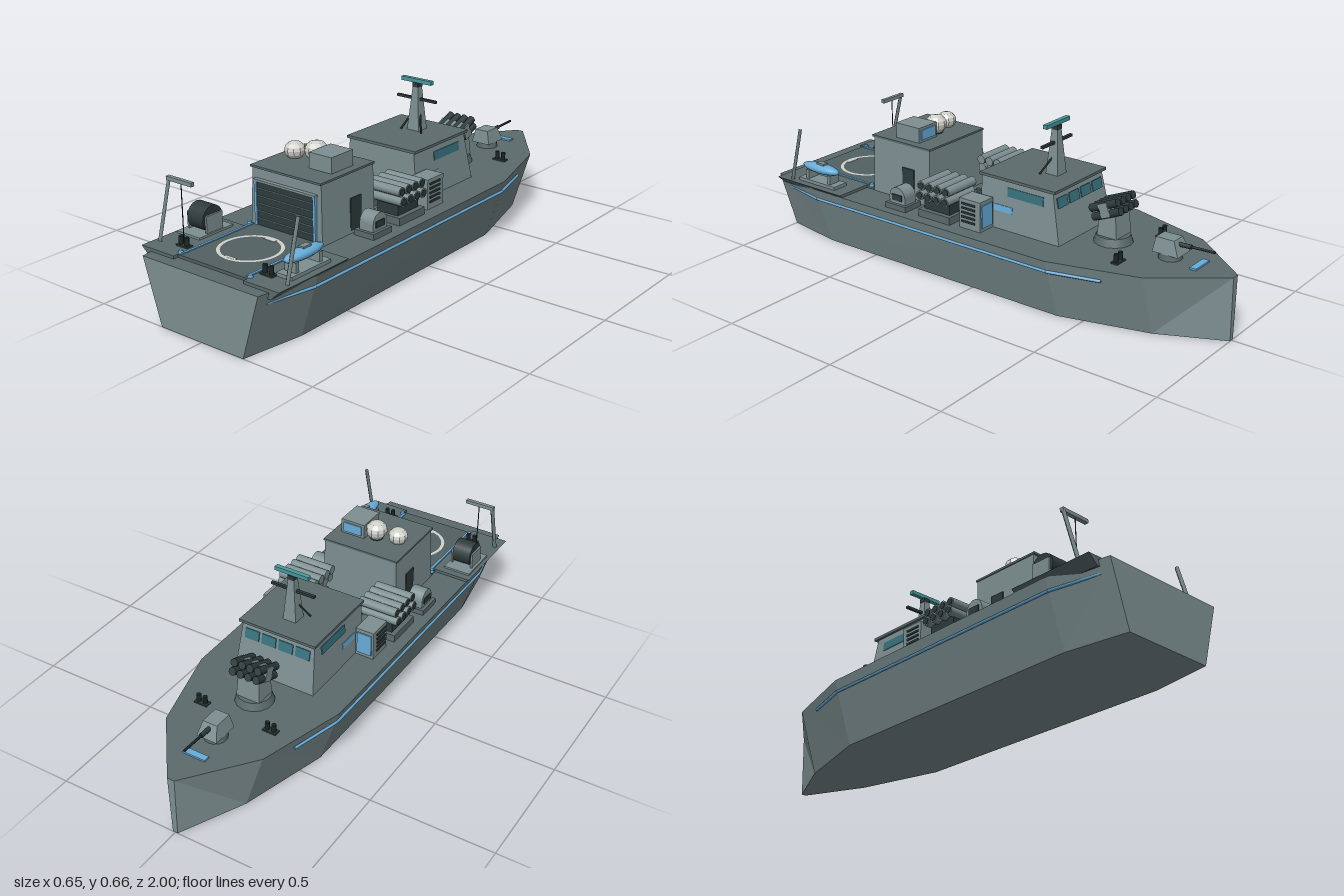
import * as THREE from 'three';

const mat = (name, color) => Object.assign(new THREE.MeshStandardMaterial({ color }), { name });

export function createModel() {
  const M = {
    hull: mat('hull grey', 0x7e9092),
    deck: mat('deck grey', 0x5c6b6d),
    pad: mat('pad grey', 0x536163),
    dark: mat('dark metal', 0x2e3b3b),
    trim: mat('black trim', 0x1d2526),
    blue: mat('blue trim', 0x68aedb),
    teal: mat('radar teal', 0x4a9a9f),
    glass: mat('window glass', 0x38737f),
    white: mat('off white', 0xd2d3cd),
  };
  const root = new THREE.Group();
  const add = (name, geo, m, x = 0, y = 0, z = 0, parent = root) => {
    const mesh = new THREE.Mesh(geo, m);
    mesh.name = name;
    mesh.position.set(x, y, z);
    parent.add(mesh);
    return mesh;
  };
  // box given by its extents
  const box = (name, m, x0, x1, y0, y1, z0, z1, parent) =>
    add(name, new THREE.BoxGeometry(Math.abs(x1 - x0), y1 - y0, z1 - z0), m,
      (x0 + x1) / 2, (y0 + y1) / 2, (z0 + z1) / 2, parent);
  const cyl = (r0, r1, h, n = 12) => new THREE.CylinderGeometry(r0, r1, h, n).toNonIndexed();
  // straight bar between two points
  const bar = (name, m, a, b, r, n = 8, parent) => {
    const p = new THREE.Vector3(...a), q = new THREE.Vector3(...b);
    const mesh = add(name, cyl(r, r, p.distanceTo(q), n), m, 0, 0, 0, parent);
    mesh.position.copy(p).lerp(q, 0.5);
    mesh.quaternion.setFromUnitVectors(new THREE.Vector3(0, 1, 0), q.sub(p).normalize());
    return mesh;
  };
  // house block whose top may be smaller than its base: [halfX, zMin, zMax]
  const block = (name, m, y0, y1, bot, top, parent) => {
    const g = new THREE.BoxGeometry(2, 2, 2), p = g.attributes.position;
    for (let i = 0; i < p.count; i++) {
      const c = p.getY(i) > 0 ? top : bot;
      p.setXYZ(i, p.getX(i) * c[0], p.getY(i) > 0 ? y1 : y0, p.getZ(i) < 0 ? c[1] : c[2]);
    }
    g.computeVertexNormals();
    return add(name, g, m, 0, 0, 0, parent);
  };
  const sides = (fn) => [1, -1].forEach(fn);

  // Hull: stations of [z, bottom half width, top half width]
  const H = 0.25;
  const st = [[1, 0.195, 0.272], [0.75, 0.235, 0.315], [-0.4, 0.225, 0.308], [-0.75, 0.13, 0.21], [-1, 0.01, 0.015]];
  const shell = [], deck = [];
  const quad = (out, a, b, c, d) => out.push(...a, ...b, ...c, ...a, ...c, ...d);
  const pt = (i, s, top) => [s * st[i][top ? 2 : 1], top ? H : 0, st[i][0]];
  for (let i = 0; i < st.length - 1; i++) {
    const j = i + 1;
    const aft = i === 0;
    const R = [pt(i, 1, 0), pt(j, 1, 0), pt(j, 1, 1), pt(i, 1, 1)];
    const L = [pt(i, -1, 0), pt(i, -1, 1), pt(j, -1, 1), pt(j, -1, 0)];
    if (aft) {
      quad(shell, R[1], R[2], R[3], R[0]);
      quad(shell, L[3], L[0], L[1], L[2]);
    } else {
      quad(shell, ...R);
      quad(shell, ...L);
    }
    quad(shell, pt(i, -1, 0), pt(j, -1, 0), pt(j, 1, 0), pt(i, 1, 0));
    quad(deck, pt(i, -1, 1), pt(i, 1, 1), pt(j, 1, 1), pt(j, -1, 1));
  }
  quad(shell, pt(0, -1, 0), pt(0, 1, 0), pt(0, 1, 1), pt(0, -1, 1));
  quad(shell, pt(4, 1, 0), pt(4, -1, 0), pt(4, -1, 1), pt(4, 1, 1));
  [['hull', shell, M.hull], ['mainDeck', deck, M.deck]].forEach(([name, pts, m]) => {
    const g = new THREE.BufferGeometry();
    g.setAttribute('position', new THREE.Float32BufferAttribute(pts, 3));
    g.computeVertexNormals();
    add(name, g, m);
  });

  sides((s) => {
    // Rub rail following the hull side
    const rail = [[0.262, 0.95], [0.303, 0.75], [0.297, -0.4], [0.244, -0.6]];
    for (let i = 0; i < 3; i++)
      bar('rubRail', M.blue, [s * rail[i][0], 0.205, rail[i][1]], [s * rail[i + 1][0], 0.205, rail[i + 1][1]], 0.006, 6);
    // Stern side platform with a slanted outer edge
    const prof = new THREE.Shape([[0.165, 0.262], [0.165, 0.245], [0.285, 0.225], [0.325, 0.262]].map(([x, y]) => new THREE.Vector2(s * x, y)));
    add('sidePlatform', new THREE.ExtrudeGeometry(prof, { depth: 0.355, bevelEnabled: false }), M.deck, 0, 0, 0.6);
    // Davit posts
    bar('davitPost', M.hull, [s * 0.302, 0.262, 0.89], [s * 0.302, 0.485, 0.83], 0.009, 4);
    // Mooring bollards
    [[0.15, -0.61, 0.25], [0.2, 0.87, 0.262]].forEach(([x, z, y]) => {
      box('bollardBase', M.dark, s * (x - 0.028), s * (x + 0.028), y, y + 0.006, z - 0.014, z + 0.014);
      [-0.014, 0.014].forEach((d) => add('bollard', cyl(0.009, 0.009, 0.036, 8), M.trim, s * x + d, y + 0.018, z));
    });
    // Equipment cabinet beside the bridge
    box('cabinet', M.hull, s * 0.172, s * 0.25, H, 0.37, -0.058, 0.042);
    box('cabinetDoor', M.blue, s * 0.18, s * 0.242, 0.265, 0.355, -0.063, -0.058);
    for (let i = 0; i < 5; i++)
      box('cabinetLouver', M.dark, s * 0.25, s * 0.254, 0.275 + i * 0.018, 0.283 + i * 0.018, -0.035, 0.03);
    // Missile canisters
    box('launcherBase', M.deck, s * 0.13, s * 0.265, H, 0.28, 0.08, 0.235);
    box('launcherCradle', M.dark, s * 0.15, s * 0.245, 0.28, 0.33, 0.095, 0.22);
    for (let row = 0; row < 2; row++) for (let i = 0; i < 4; i++) {
      const y = 0.341 + row * 0.037, z = 0.097 + i * 0.041, o = row * -0.008;
      bar('missileTube', M.hull, [s * (0.11 + o), y, z], [s * (0.272 + o), y, z], 0.019, 10);
      bar('tubeCap', M.dark, [s * (0.272 + o), y, z], [s * (0.275 + o), y, z], 0.014, 10);
    }
    // Rounded winch housing
    box('winchBase', M.deck, s * 0.185, s * 0.275, H, 0.272, 0.295, 0.4);
    box('winchBody', M.hull, s * 0.2, s * 0.262, 0.272, 0.3, 0.307, 0.387);
    bar('winchDrum', M.hull, [s * 0.2, 0.3, 0.347], [s * 0.262, 0.3, 0.347], 0.04, 14);
    box('winchSlot', M.dark, s * 0.262, s * 0.266, 0.285, 0.31, 0.322, 0.372);
    // Hangar side door
    box('hangarSideDoor', M.dark, s * 0.165, s * 0.171, 0.26, 0.385, 0.34, 0.4);
    // Bridge side windows and panel, following the wall slope
    const tilt = new THREE.Group();
    tilt.name = 'bridgeSideFittings';
    tilt.position.set(s * 0.171, H, 0);
    tilt.rotation.z = s * 0.078;
    root.add(tilt);
    box('sideWindow', M.glass, -0.003, 0.003, 0.135, 0.17, -0.285, -0.12, tilt);
    box('sidePanel', M.blue, -0.003, 0.003, 0.07, 0.095, -0.145, -0.06, tilt);
  });

  // Bridge
  block('bridge', M.hull, H, 0.445, [0.172, -0.365, 0.005], [0.156, -0.325, 0.005]);
  box('bridgeRoof', M.deck, -0.166, 0.166, 0.445, 0.456, -0.34, 0.01);
  const face = new THREE.Group();
  face.name = 'bridgeFrontWindows';
  face.position.set(0, H, -0.366);
  face.rotation.x = Math.atan2(0.04, 0.195);
  root.add(face);
  for (let i = 0; i < 4; i++) {
    const x = -0.111 + i * 0.074;
    box('frontWindow', M.glass, x - 0.031, x + 0.031, 0.135, 0.175, -0.003, 0.003, face);
  }

  // Mast and radars
  const mastZ = -0.225;
  block('mast', M.hull, 0.456, 0.63, [0.028, mastZ - 0.028, mastZ + 0.028], [0.013, mastZ - 0.013, mastZ + 0.013]);
  box('mastCap', M.dark, -0.014, 0.014, 0.63, 0.648, mastZ - 0.014, mastZ + 0.014);
  box('topRadar', M.teal, -0.072, 0.072, 0.647, 0.663, mastZ - 0.009, mastZ + 0.009);
  box('yardArm', M.dark, -0.095, 0.093, 0.576, 0.586, mastZ - 0.006, mastZ + 0.006);
  sides((s) => bar('mastStrut', M.trim, [s * 0.05, 0.456, mastZ + 0.04], [s * 0.015, 0.53, mastZ], 0.004, 6));

  // Hangar
  block('hangar', M.hull, H, 0.48, [0.17, 0.262, 0.558], [0.163, 0.262, 0.552]);
  box('hangarRoof', M.deck, -0.167, 0.167, 0.479, 0.487, 0.258, 0.56);
  box('hangarDoor', M.dark, -0.135, 0.135, 0.26, 0.432, 0.552, 0.562);
  for (let i = 0; i < 6; i++)
    box('doorSlat', M.hull, -0.132, 0.132, 0.287 + i * 0.029, 0.291 + i * 0.029, 0.56, 0.566);
  box('doorLintel', M.hull, -0.147, 0.147, 0.431, 0.44, 0.55, 0.57);
  sides((s) => box('doorJamb', M.blue, s * 0.134, s * 0.145, 0.26, 0.431, 0.55, 0.567));
  box('roofUnit', M.hull, 0.028, 0.133, 0.487, 0.548, 0.34, 0.46);
  box('roofUnitPanel', M.blue, 0.04, 0.121, 0.497, 0.538, 0.335, 0.34);

  // Satellite domes
  [[-0.097, 0.516, 0.395, 0.04, 0.031], [-0.01, 0.527, 0.375, 0.044, 0.035]].forEach(([x, y, z, r, h]) => {
    const prof = [[0, -h], [0.62, -h], [0.92, -0.5 * h], [1, 0], [0.92, 0.4 * h], [0.6, 0.82 * h], [0, h]];
    const g = new THREE.LatheGeometry(prof.map(([a, b]) => new THREE.Vector2(a * r, b)), 10).toNonIndexed();
    g.computeVertexNormals();
    add('satelliteDome', g, M.white, x, y, z);
    add('domePedestal', cyl(0.026, 0.026, 0.014, 10), M.dark, x, 0.492, z);
  });

  // Midships vent grating
  box('ventFrame', M.deck, -0.068, 0.068, H, 0.272, 0.065, 0.205);
  box('ventWell', M.trim, -0.058, 0.058, 0.27, 0.275, 0.075, 0.195);
  for (let i = 0; i < 5; i++)
    box('ventSlat', M.deck, -0.05 + i * 0.022, -0.038 + i * 0.022, 0.272, 0.28, 0.075, 0.195);

  // Fore rocket launcher, tilted up towards the bow
  add('rocketBase', cyl(0.065, 0.075, 0.03, 14), M.deck, 0, 0.265, -0.49);
  block('rocketPedestal', M.hull, 0.28, 0.37, [0.05, -0.535, -0.45], [0.045, -0.525, -0.455]);
  const rack = new THREE.Group();
  rack.name = 'rocketRack';
  rack.position.set(0, 0.388, -0.487);
  rack.rotation.x = 0.4;
  root.add(rack);
  box('rackFrame', M.hull, -0.066, 0.066, -0.028, 0.028, -0.02, 0.02, rack);
  for (let row = 0; row < 2; row++) for (let i = 0; i < 4; i++)
    bar('rocketTube', M.dark, [-0.051 + i * 0.034, -0.017 + row * 0.034, 0.063],
      [-0.051 + i * 0.034, -0.017 + row * 0.034, -0.063], 0.0155, 10, rack);

  // Bow gun
  add('gunRing', cyl(0.042, 0.045, 0.025, 14), M.deck, 0, 0.262, -0.735);
  block('gunTurret', M.hull, 0.274, 0.33, [0.043, -0.79, -0.683], [0.03, -0.765, -0.69]);
  bar('gunSleeve', M.dark, [0, 0.31, -0.77], [0, 0.312, -0.82], 0.009);
  bar('gunBarrel', M.trim, [0, 0.312, -0.81], [0, 0.316, -0.915], 0.005);
  box('foredeckPlate', M.blue, -0.047, 0.047, H, 0.257, -0.868, -0.842);

  // Helicopter pad with painted ring
  box('landingPad', M.pad, -0.168, 0.168, H, 0.262, 0.56, 0.935);
  const ring = new THREE.RingGeometry(0.107, 0.12, 40);
  ring.rotateX(-Math.PI / 2);
  add('padRing', ring, M.white, 0, 0.2635, 0.745);
  sides((s) => {
    box('padRingMark', M.white, -0.025, 0.025, 0.262, 0.264, 0.739 + s * 0.1, 0.751 + s * 0.1);
    box('padEdgeLine', M.blue, s * 0.15, s * 0.16, 0.262, 0.266, 0.57, 0.925);
    [0.575, 0.92].forEach((z) => add('padLight', cyl(0.008, 0.01, 0.012, 8), M.blue, s * 0.165, 0.267, z));
  });

  // Cable reel and right davit arm
  box('reelBase', M.hull, -0.31, -0.195, 0.262, 0.27, 0.63, 0.8);
  bar('cableReel', M.dark, [-0.29, 0.316, 0.715], [-0.212, 0.316, 0.715], 0.05, 16);
  [-0.296, -0.206].forEach((x) => box('reelBracket', M.hull, x - 0.004, x + 0.004, 0.262, 0.335, 0.675, 0.755));
  box('davitArm', M.hull, -0.31, -0.185, 0.475, 0.49, 0.822, 0.838);
  bar('davitRope', M.trim, [-0.243, 0.265, 0.83], [-0.243, 0.476, 0.83], 0.002, 6);

  // Small boat on its cradle
  box('boatCradle', M.hull, 0.225, 0.295, 0.262, 0.275, 0.66, 0.86);
  [0.7, 0.82].forEach((z) => box('cradleChock', M.hull, 0.235, 0.285, 0.275, 0.312, z - 0.008, z + 0.008));
  add('smallBoat', new THREE.SphereGeometry(1, 14, 8), M.blue, 0.262, 0.324, 0.762).scale.set(0.03, 0.021, 0.1);
  box('boatSeat', M.hull, 0.25, 0.274, 0.34, 0.35, 0.735, 0.775);

  return root;
}
